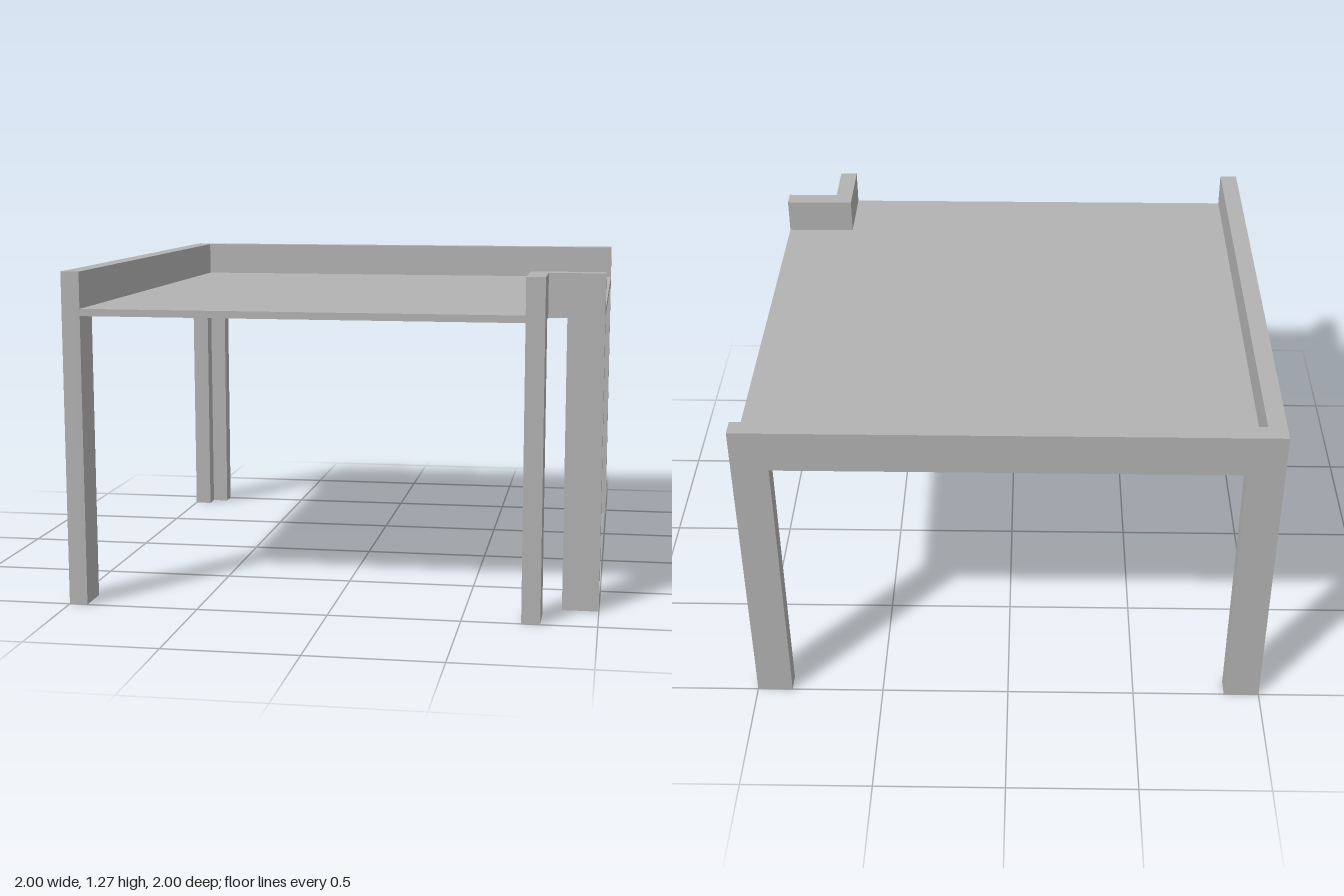
import * as THREE from 'three';

const T = 0.07;       // panel thickness
const LEG = 0.138;    // leg width
const UNDER = 1.105;  // underside of the rails and top
const TOP = 1.27;     // upper edge of the rails

const grey = new THREE.MeshStandardMaterial({ color: 0xb2b2b2 });
grey.name = 'grey';

function extrude(name, points, depth) {
  const shape = new THREE.Shape(points.map(([x, y]) => new THREE.Vector2(x, y)));
  const mesh = new THREE.Mesh(new THREE.ExtrudeGeometry(shape, { depth, bevelEnabled: false }), grey);
  mesh.name = name;
  return mesh;
}

// Upright panel from a to b with an opening from c to d below the rail
const archPanel = (name, a, c, d, b) => extrude(name,
  [[a, 0], [c, 0], [c, UNDER], [d, UNDER], [d, 0], [b, 0], [b, TOP], [a, TOP]], T);

// Short panel from a to b with one leg at its outer end
const bracketPanel = (name, a, b) => extrude(name,
  [[a, UNDER], [b - LEG, UNDER], [b - LEG, 0], [b, 0], [b, TOP], [a, TOP]], T);

// Turns a panel to run along z, with its +x face at the given x
function alongZ(panel, x) {
  panel.rotation.y = -Math.PI / 2;
  panel.position.x = x;
  return panel;
}

export function createModel() {
  const model = new THREE.Group();
  model.name = 'table';

  // Two long frames meeting at the back corner
  const back = archPanel('backFrame', -1, -1 + LEG, 1 - LEG, 1);
  back.position.z = -1;
  const side = alongZ(archPanel('sideFrame', -1 + T, -1 + LEG, 1 - LEG, 1), -1 + T);

  // Inward corner bracket with two separate legs
  const inner = 0.722;
  const bracketX = bracketPanel('bracketAlongX', inner, 1);
  bracketX.position.z = inner;
  const bracketZ = alongZ(bracketPanel('bracketAlongZ', inner + T, 1), inner + T);

  // Thin top, notched around the bracket
  const top = extrude('tableTop', [
    [-1 + T, -1], [inner, -1], [inner, -inner], [1, -inner], [1, 1 - T], [-1 + T, 1 - T],
  ], 0.027);
  top.rotation.x = -Math.PI / 2;
  top.position.y = UNDER;

  model.add(back, side, bracketX, bracketZ, top);
  return model;
}
